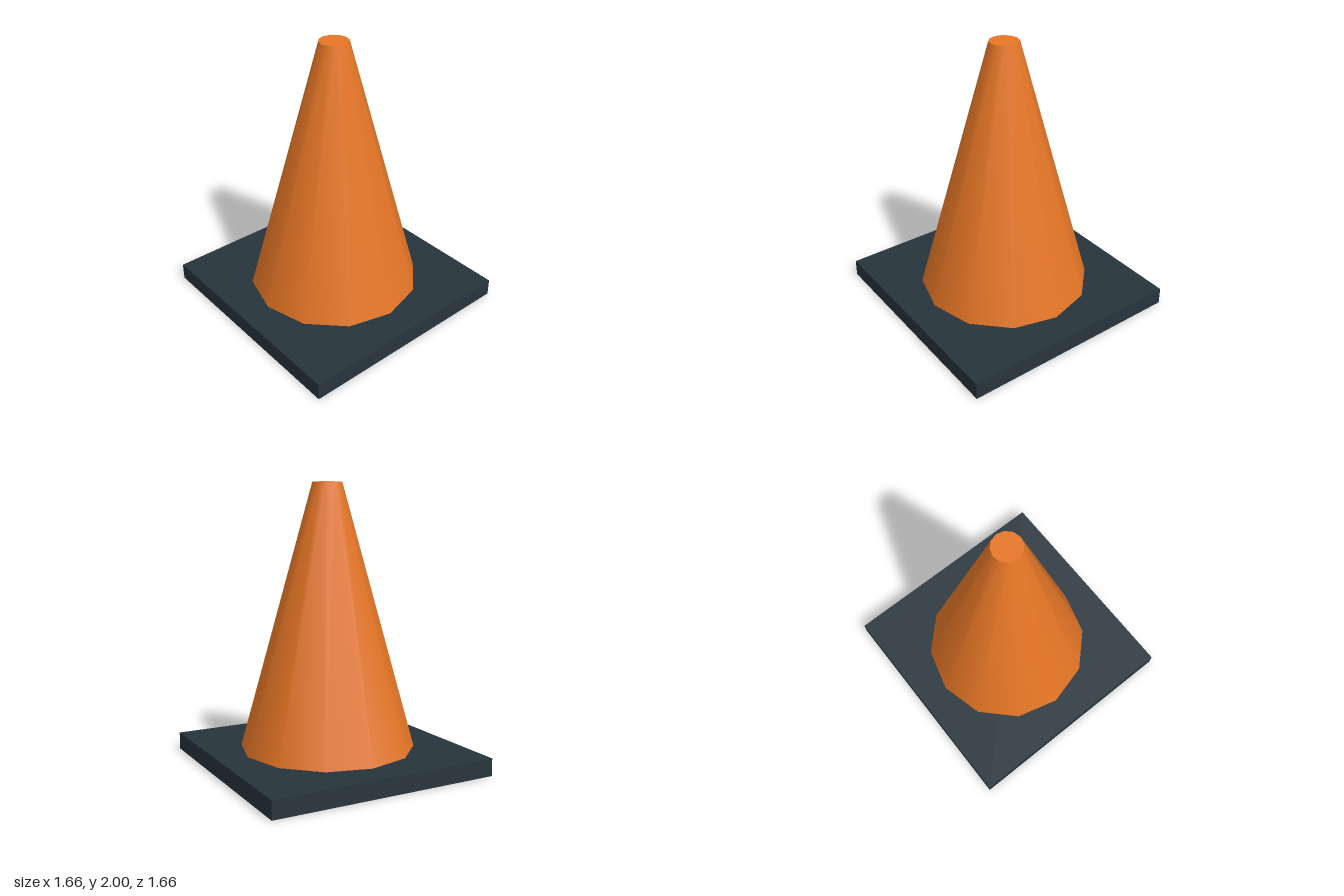
import * as THREE from 'three';

export function createModel() {
  const orange = new THREE.MeshStandardMaterial({ name: 'orange', color: 0xe67626 });
  const darkSlate = new THREE.MeshStandardMaterial({ name: 'darkSlate', color: 0x27343d });

  const baseSize = 1.66, baseHeight = 0.125, totalHeight = 2;
  const coneHeight = totalHeight - baseHeight;

  const group = new THREE.Group();
  group.name = 'trafficCone';

  // Square base plate
  const base = new THREE.Mesh(new THREE.BoxGeometry(baseSize, baseHeight, baseSize), darkSlate);
  base.name = 'base';
  base.position.y = baseHeight / 2;

  // Twelve-sided tapered body with smooth sides and a flat top
  const cone = new THREE.Mesh(new THREE.CylinderGeometry(0.104, 0.622, coneHeight, 12), orange);
  cone.name = 'cone';
  cone.position.y = baseHeight + coneHeight / 2;

  group.add(base, cone);
  return group;
}
